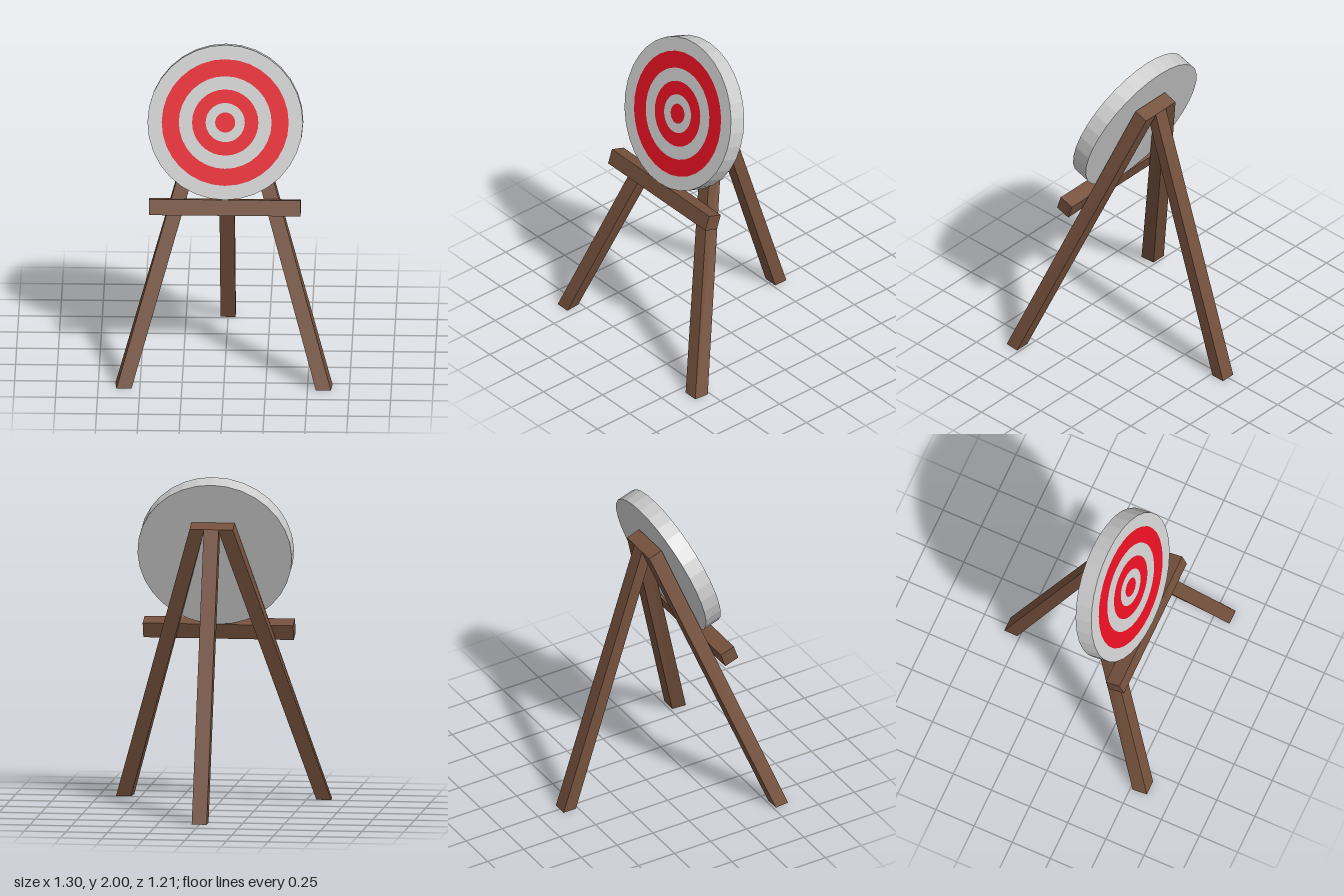
import * as THREE from 'three';

const TILT = -0.321; // lean of the target plane, about x
const wood = new THREE.MeshStandardMaterial({ color: 0x75513d, flatShading: true });
const grey = new THREE.MeshStandardMaterial({ color: 0xcccccc, flatShading: true });
const red = new THREE.MeshStandardMaterial({ color: 0xe31022 });

function add(parent, name, geometry, material) {
  const mesh = new THREE.Mesh(geometry, material);
  mesh.name = name;
  parent.add(mesh);
  return mesh;
}

// Beam made from a box whose eight corners are moved by a rule:
// place(sx, top, front) returns [x, y, z]
function beam(place) {
  const geometry = new THREE.BoxGeometry(1, 1, 1);
  const p = geometry.attributes.position;
  for (let i = 0; i < p.count; i++) {
    p.setXYZ(i, ...place(Math.sign(p.getX(i)), p.getY(i) > 0, p.getZ(i) > 0));
  }
  geometry.computeVertexNormals();
  return geometry;
}

export function createModel() {
  const model = new THREE.Group();
  model.name = 'archeryTarget';

  // Splayed front legs, cut level at the floor and square at the top
  for (const side of [1, -1]) {
    add(model, side > 0 ? 'leftFrontLeg' : 'rightFrontLeg', beam((sx, top, front) => {
      if (top) return [side * 0.085 + sx * 0.045, front ? 1.73 : 1.7, front ? 0.03 : -0.055];
      return [side * (front ? 0.595 : 0.603) + sx * 0.045, 0, front ? 0.605 : 0.515];
    }), wood);
  }

  // Rear leg, its top filling the gap between the front legs
  add(model, 'rearLeg', beam((sx, top, front) => {
    if (top) return [sx * 0.045, front ? 1.73 : 1.7, front ? 0.03 : -0.055];
    return [sx * 0.045, 0, front ? -0.515 : -0.6];
  }), wood);

  // Cross bar that the target rests on
  const shelf = add(model, 'shelf', new THREE.BoxGeometry(0.905, 0.095, 0.095), wood);
  shelf.position.set(0, 1.055, 0.31);
  shelf.rotation.x = TILT;

  // Round target, leaning back
  const target = new THREE.Group();
  target.name = 'target';
  target.position.set(0, 1.543, 0.155);
  target.rotation.x = TILT;
  model.add(target);

  const disc = new THREE.CylinderGeometry(0.464, 0.464, 0.108, 32);
  disc.rotateX(Math.PI / 2);
  add(target, 'targetDisc', disc, grey);

  // Red bands and bullseye
  const bands = [[0.277, 0.379, 'outerBand'], [0.117, 0.198, 'innerBand']];
  for (const [inner, outer, name] of bands) {
    add(target, name, new THREE.RingGeometry(inner, outer, 32), red).position.z = 0.056;
  }
  add(target, 'bullseye', new THREE.CircleGeometry(0.06, 32), red).position.z = 0.056;

  return model;
}
